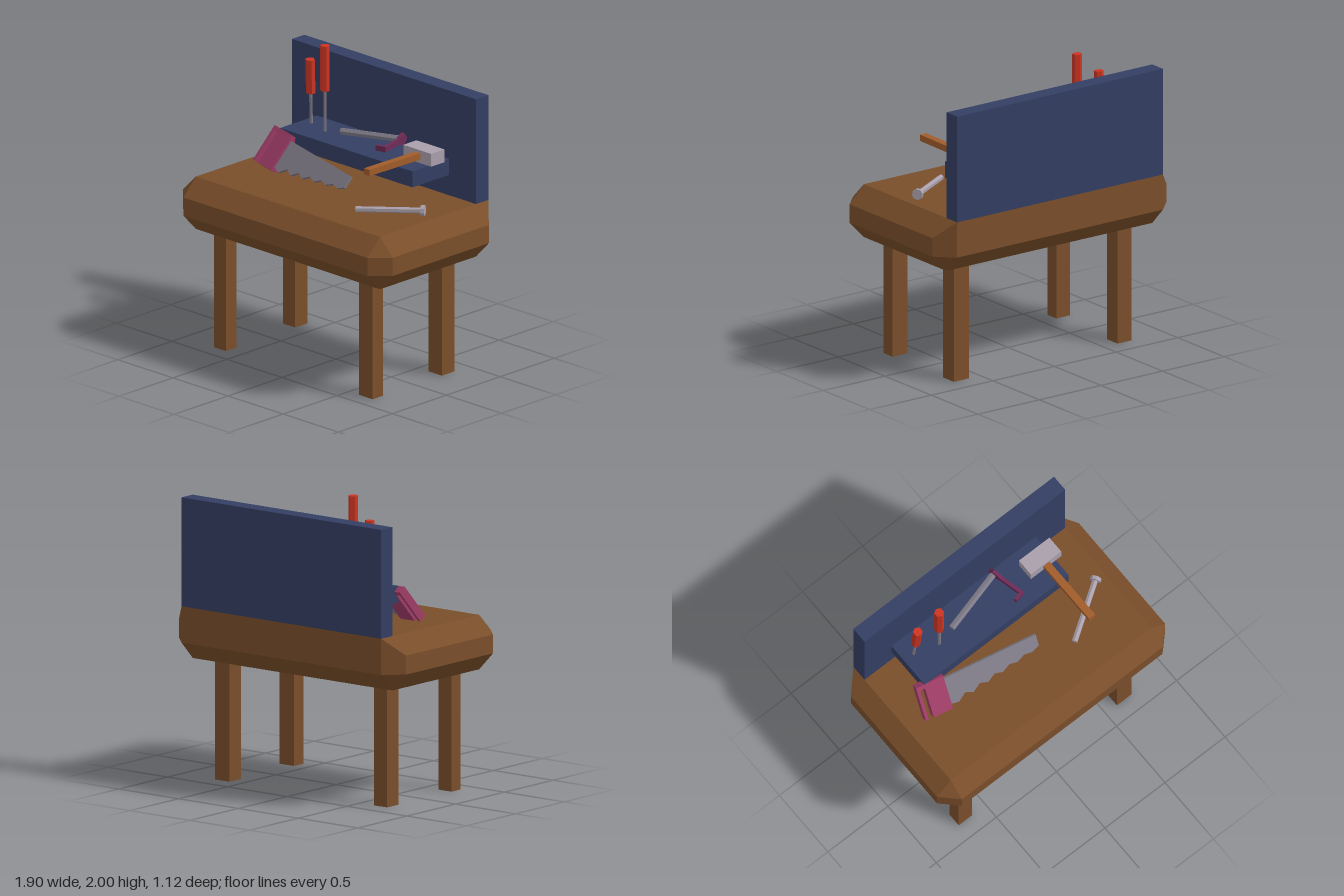
import * as THREE from 'three';
import { ConvexGeometry } from 'three/addons/geometries/ConvexGeometry.js';

const paint = (color) => new THREE.MeshStandardMaterial({ color, flatShading: true });
const wood = paint(0x7a4e2a), navy = paint(0x333e62), red = paint(0xcc3422), steel = paint(0x7d7986);
const pale = paint(0xa99fac), pink = paint(0x9e3c66), plum = paint(0x6e2a56), orange = paint(0xa05c2a);
const V = (x, y, z) => new THREE.Vector3(x, y, z);

function add(parent, name, geometry, material) {
  const mesh = new THREE.Mesh(geometry, material);
  mesh.name = name;
  parent.add(mesh);
  return mesh;
}

// Box given by its low and high limits on each axis
function box(parent, name, material, [x0, x1], [y0, y1], [z0, z1]) {
  const mesh = add(parent, name, new THREE.BoxGeometry(x1 - x0, y1 - y0, z1 - z0), material);
  mesh.position.set((x0 + x1) / 2, (y0 + y1) / 2, (z0 + z1) / 2);
  return mesh;
}

// Straight prism running from a to b
function rod(parent, name, material, a, b, radius, sides = 6) {
  const mesh = add(parent, name, new THREE.CylinderGeometry(radius, radius, a.distanceTo(b), sides), material);
  mesh.position.copy(a).add(b).multiplyScalar(0.5);
  mesh.quaternion.setFromUnitVectors(V(0, 1, 0), b.clone().sub(a).normalize());
  return mesh;
}

// Flat plate from an outline, with its back at z
function plate(parent, name, material, points, depth, z) {
  const shape = new THREE.Shape(points.map(([x, y]) => new THREE.Vector2(x, y)));
  const geometry = new THREE.ExtrudeGeometry(shape, { depth, bevelEnabled: false });
  geometry.translate(0, 0, z);
  return add(parent, name, geometry, material);
}

function group(parent, name) {
  const g = new THREE.Group();
  g.name = name;
  parent.add(g);
  return g;
}

function addTable(model) {
  // Chamfered top, with its rear upper edge carried up to meet the back board
  const points = [];
  for (const sx of [-1, 1]) for (const sz of [-1, 1]) {
    for (const y of [0.8, 1.16]) points.push(V(sx * 0.835, y, sz * 0.445));
    for (const y of [0.92, 1.045]) {
      points.push(V(sx * 0.95, y, sz * 0.445));
      points.push(V(sx * 0.835, sz < 0 && y > 1 ? 1.16 : y, sz * 0.56));
    }
  }
  add(model, 'tableTop', new ConvexGeometry(points), wood);
  for (const x of [[-0.725, -0.615], [0.592, 0.715]])
    for (const z of [[0.295, 0.39], [-0.365, -0.25]]) box(model, 'leg', wood, x, [0, 0.82], z);
  box(model, 'backBoard', navy, [-0.835, 0.835], [1.16, 1.88], [-0.56, -0.445]);
  box(model, 'shelf', navy, [-0.61, 0.59], [1.3, 1.41], [-0.445, -0.105]);
}

function addScrewdriver(model, tip, neck, end) {
  const g = group(model, 'screwdriver');
  rod(g, 'shaft', steel, tip, neck, 0.011);
  rod(g, 'grip', red, neck, end, 0.032);
}

function addMallet(model) {
  const g = group(model, 'mallet');
  box(g, 'malletHead', pale, [0.38, 0.633], [1.42, 1.508], [-0.358, -0.235]);
  const handle = box(g, 'malletHandle', orange, [0.485, 0.535], [1.447, 1.49], [-0.25, 0.236]);
  handle.rotation.x = -0.012;
}

function addHammer(model) {
  const g = group(model, 'hammer');
  rod(g, 'hammerHandle', steel, V(-0.235, 1.435, -0.29), V(0.2, 1.46, -0.402), 0.024);
  // Flat head: pointed wide end at the back, narrow arm to the front, small hook
  const head = group(g, 'hammerHead');
  head.position.set(0.2, 1.462, -0.442);
  head.rotation.y = -Math.PI / 2 + 0.24;
  plate(head, 'headPlate', plum, [[0, 0], [0.035, -0.04], [0.085, -0.025], [0.1, -0.018],
    [0.275, -0.018], [0.275, 0.018], [0.1, 0.018], [0.085, 0.03], [0.035, 0.042]], 0.024, -0.012);
  box(head, 'hook', plum, [0.252, 0.275], [-0.018, 0.018], [0, 0.065]);
}

function addBolt(model) {
  const g = group(model, 'bolt');
  const a = V(0.385, 1.18, 0.21), b = V(0.755, 1.201, -0.032);
  const dir = b.clone().sub(a).normalize();
  rod(g, 'boltShaft', pale, a, b, 0.02);
  rod(g, 'boltHead', pale, b.clone().addScaledVector(dir, -0.01), b.clone().addScaledVector(dir, 0.015), 0.037, 8);
}

function addSaw(model) {
  // Leaning frame: along the blade, up the blade, out of its face
  const g = group(model, 'saw');
  const along = V(0.98, -0.066, 0.185).normalize();
  const out = along.clone().cross(V(0.1, 0.79, -0.6)).normalize();
  const up = out.clone().cross(along);
  g.quaternion.setFromRotationMatrix(new THREE.Matrix4().makeBasis(along, up, out));
  g.position.set(-0.475, 1.4, -0.08);
  // Handle with a finger slot open at the bottom
  plate(g, 'sawHandle', pink, [[0, 0], [-0.2, 0], [-0.2, -0.265], [-0.178, -0.265],
    [-0.178, -0.03], [-0.142, -0.03], [-0.142, -0.265], [0, -0.265]], 0.055, -0.055);
  // Tapered blade with a zigzag lower edge
  const blade = [[0.68, -0.035], [-0.02, -0.035], [-0.02, -0.235]];
  const teeth = 6;
  for (let i = 0; i < teeth; i++) {
    const t = (i + 0.5) / teeth, e = (i + 1) / teeth;
    blade.push([0.68 * t, -0.262 + 0.125 * t], [0.68 * e, -0.222 + 0.1 * e]);
  }
  plate(g, 'sawBlade', steel, blade, 0.018, -0.036);
}

export function createModel() {
  const model = new THREE.Group();
  model.name = 'workbench';
  addTable(model);
  addScrewdriver(model, V(-0.36, 1.41, -0.265), V(-0.36, 1.69, -0.265), V(-0.36, 2, -0.265));
  addScrewdriver(model, V(-0.533, 1.41, -0.315), V(-0.525, 1.625, -0.302), V(-0.518, 1.86, -0.288));
  addMallet(model);
  addHammer(model);
  addBolt(model);
  addSaw(model);
  return model;
}
